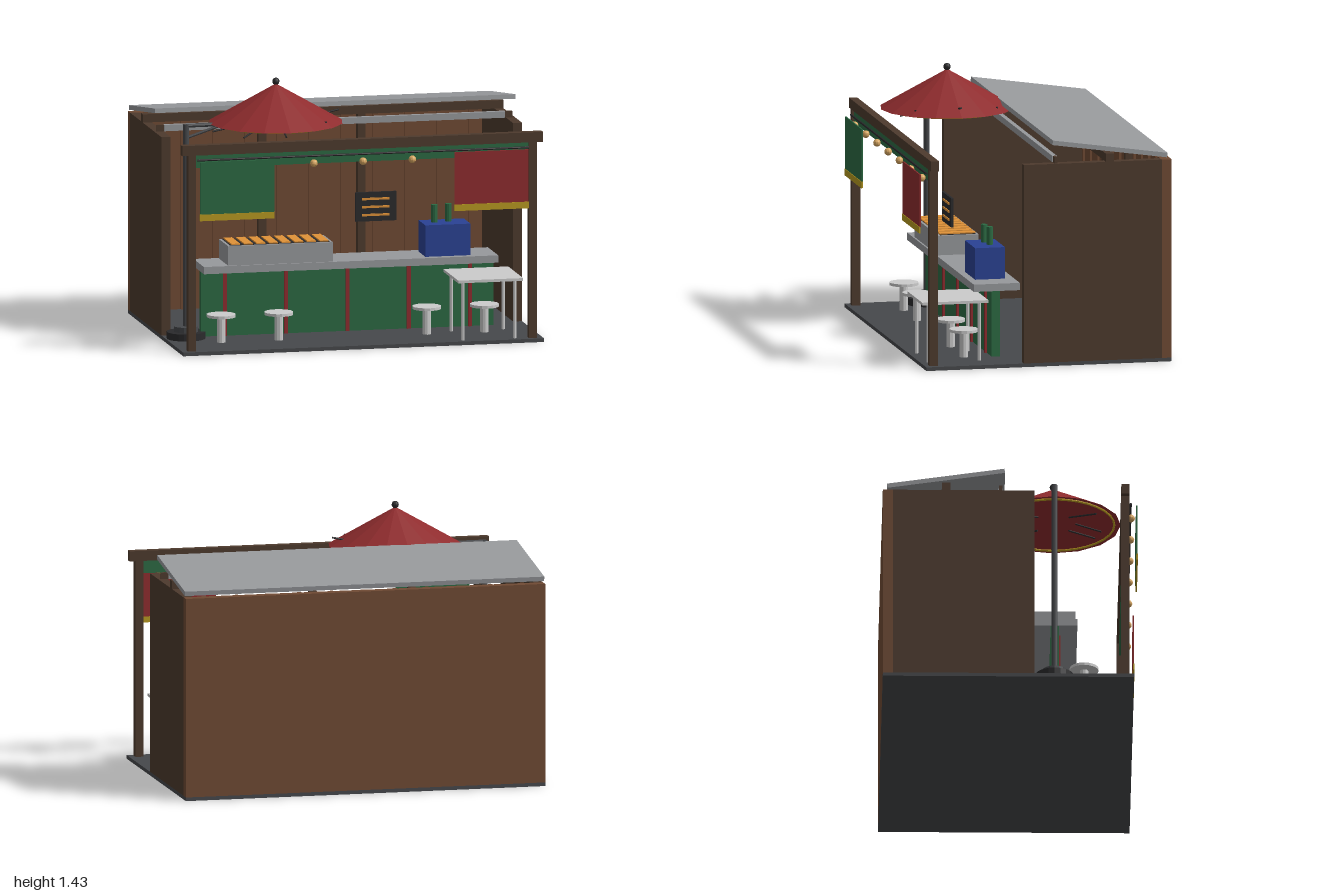
import * as THREE from 'three';

const C = {
  grey: 0xcccccc, metal: 0x97999c, floor: 0x46484b, black: 0x2a2a2c, dark: 0x4d3a2d, wood: 0x704a33,
  green: 0x2c6a43, red: 0x8f2c2e, yellow: 0xb89a20, blue: 0x2a4294, orange: 0xe09238, lamp: 0xd9a862,
};
const mats = {};
const mat = (c) => (mats[c] ??= new THREE.MeshStandardMaterial({ color: C[c], flatShading: true, side: THREE.DoubleSide }));

export function createModel() {
  const root = new THREE.Group();
  const group = (name) => {
    const g = new THREE.Group();
    g.name = name;
    root.add(g);
    return g;
  };
  const add = (name, geo, color, parent = root) => {
    const m = new THREE.Mesh(geo, mat(color));
    m.name = name;
    parent.add(m);
    return m;
  };
  // box from its minimum and maximum on each axis
  const box = (name, color, x0, x1, y0, y1, z0, z1, parent) => {
    const m = add(name, new THREE.BoxGeometry(x1 - x0, y1 - y0, z1 - z0), color, parent);
    m.position.set((x0 + x1) / 2, (y0 + y1) / 2, (z0 + z1) / 2);
    return m;
  };
  // upright cylinder from y0 to y1
  const cyl = (name, color, x, z, r, y0, y1, parent, sides = 16, rTop = r) => {
    const m = add(name, new THREE.CylinderGeometry(rTop, r, y1 - y0, sides), color, parent);
    m.position.set(x, (y0 + y1) / 2, z);
    return m;
  };
  // round bar between two points
  const rod = (name, color, a, b, r, parent) => {
    const p = new THREE.Vector3(...a), q = new THREE.Vector3(...b), d = q.clone().sub(p);
    const m = add(name, new THREE.CylinderGeometry(r, r, d.length(), 8), color, parent);
    m.position.copy(p).add(q).multiplyScalar(0.5);
    m.quaternion.setFromUnitVectors(new THREE.Vector3(0, 1, 0), d.normalize());
    return m;
  };
  const ball = (name, color, x, y, z, r, parent) =>
    add(name, new THREE.SphereGeometry(r, 12, 8), color, parent).position.set(x, y, z);

  // shell
  box('floor', 'floor', -1, 1, 0, 0.02, -0.69, 0.67);
  box('backWall', 'wood', -1, 1, 0.02, 1.11, -0.69, -0.635);
  for (const s of [-1, 1]) {
    box('sideWall', 'dark', s * 0.975 - 0.025, s * 0.975 + 0.025, 0.02, 1.11, -0.635, 0.13);
    box('frontPost', 'dark', s * 0.945 - 0.022, s * 0.945 + 0.022, 0.02, 1.1, 0.6, 0.645);
    box('roofBlock', 'dark', s * 0.965 - 0.02, s * 0.965 + 0.02, 1.11, 1.145, -0.06, -0.043);
  }
  const battens = group('wallBattens');
  for (let i = 0; i < 11; i++) {
    const x = -0.885 + i * 0.177;
    box('batten', 'wood', x - 0.012, x + 0.012, 0.02, 1.11, -0.635, -0.623, battens);
  }
  for (const x of [-0.275, 0.275]) box('wallPost', 'dark', x - 0.022, x + 0.022, 0.02, 1.11, -0.635, -0.595);

  // roof
  box('roofBeam', 'dark', -1, 1, 1.11, 1.155, -0.37, -0.325);
  box('lightRail', 'metal', -0.945, 0.945, 1.11, 1.145, -0.065, -0.04);
  const roof = add('roof', new THREE.BoxGeometry(2, 0.025, 0.642), 'metal');
  roof.position.set(0, 1.18, -0.348);
  roof.rotation.x = -Math.atan2(0.092, 0.632);

  // front frame, lamps and hanging cloths
  box('frontBeam', 'dark', -1, 1, 1.095, 1.15, 0.6, 0.645);
  box('headerBoard', 'green', -0.922, 0.922, 1.025, 1.095, 0.612, 0.635);
  rod('clothRod', 'black', [-0.92, 1.07, 0.652], [0.92, 1.07, 0.652], 0.006);
  for (let i = -3; i <= 3; i++) {
    ball('lamp', 'lamp', i * 0.273, 1.03, 0.655, 0.021);
  }
  for (const [x, color] of [[-0.705, 'green'], [0.705, 'red']]) {
    const cloth = group('hangingCloth');
    box('cloth', color, x - 0.205, x + 0.205, 0.775, 1.065, 0.681, 0.688, cloth);
    box('clothTrim', 'yellow', x - 0.207, x + 0.207, 0.742, 0.778, 0.682, 0.691, cloth);
  }

  // counter
  const counter = group('counter');
  box('counterPanel', 'green', -0.81, 0.81, 0.03, 0.39, 0.22, 0.265, counter);
  box('counterTop', 'metal', -0.817, 0.815, 0.39, 0.43, 0.11, 0.365, counter);
  for (let i = -2; i <= 2; i++) box('counterStrip', 'red', i * 0.34 - 0.01, i * 0.34 + 0.01, 0.03, 0.39, 0.265, 0.276, counter);

  // grill with slats
  const grill = group('grill');
  box('grillBody', 'metal', -0.68, -0.1, 0.43, 0.537, 0.13, 0.355, grill);
  box('grillBed', 'black', -0.665, -0.115, 0.537, 0.54, 0.145, 0.34, grill);
  for (let i = 0; i < 8; i++) {
    const x = -0.635 + i * 0.07;
    box('grillSlat', 'orange', x - 0.024, x + 0.024, 0.54, 0.547, 0.143, 0.342, grill);
  }

  // bottle crate
  const crate = group('bottleCrate');
  box('crate', 'blue', 0.42, 0.67, 0.43, 0.603, 0.16, 0.325, crate);
  for (const [x, z] of [[0.49, 0.235], [0.57, 0.222]]) cyl('bottle', 'green', x, z, 0.018, 0.6, 0.7, crate, 10);

  // menu board
  const menu = group('menuBoard');
  box('board', 'black', 0.025, 0.25, 0.645, 0.805, 0.35, 0.363, menu);
  for (const y of [0.68, 0.724, 0.768]) box('menuLine', 'orange', 0.06, 0.212, y - 0.006, y + 0.006, 0.363, 0.368, menu);

  // stools
  for (const x of [-0.73, -0.41, 0.41, 0.73]) {
    const stool = group('stool');
    cyl('stoolSeat', 'grey', x, 0.402, 0.079, 0.16, 0.175, stool);
    cyl('stoolPost', 'grey', x, 0.402, 0.023, 0.02, 0.16, stool, 10);
  }

  // side table
  const table = group('sideTable');
  box('tableTop', 'grey', 0.525, 0.885, 0.34, 0.355, 0.3, 0.667, table);
  for (const x of [0.56, 0.848]) for (const z of [0.342, 0.625]) cyl('tableLeg', 'grey', x, z, 0.01, 0.02, 0.34, table, 8);

  // cantilever parasol
  const parasol = group('parasol');
  const ux = -0.39, uz = 0.24, px = -0.888;
  cyl('parasolBase', 'black', px, uz, 0.105, 0.02, 0.058, parasol, 20);
  cyl('baseCollar', 'floor', px, uz, 0.066, 0.058, 0.088, parasol);
  cyl('pole', 'floor', px, uz, 0.016, 0.088, 1.195, parasol, 10);
  rod('parasolArm', 'floor', [px, 1.188, uz], [ux, 1.188, uz], 0.011, parasol);
  rod('armBrace', 'floor', [px, 1.12, uz], [px + 0.2, 1.185, uz], 0.008, parasol);
  const canopy = add('canopy', new THREE.ConeGeometry(0.365, 0.21, 16, 1, true), 'red', parasol);
  canopy.position.set(ux, 1.295, uz);
  const rim = add('canopyRim', new THREE.TorusGeometry(0.33, 0.006, 6, 32), 'yellow', parasol);
  rim.rotation.x = Math.PI / 2;
  rim.position.set(ux, 1.188, uz);
  ball('finial', 'black', ux, 1.412, uz, 0.02, parasol);
  // ribs lean up towards +x and down elsewhere
  for (let i = 0; i < 8; i++) {
    const a = (i * Math.PI) / 4, c = Math.cos(a), s = Math.sin(a);
    const r = 0.26 + 0.09 * Math.abs(c), y = 1.15 + 0.095 * Math.max(0, c);
    rod('rib', 'black', [ux + 0.12 * c, 1.195, uz + 0.12 * s], [ux + r * c, y, uz + r * s], 0.005, parasol);
  }
  return root;
}
